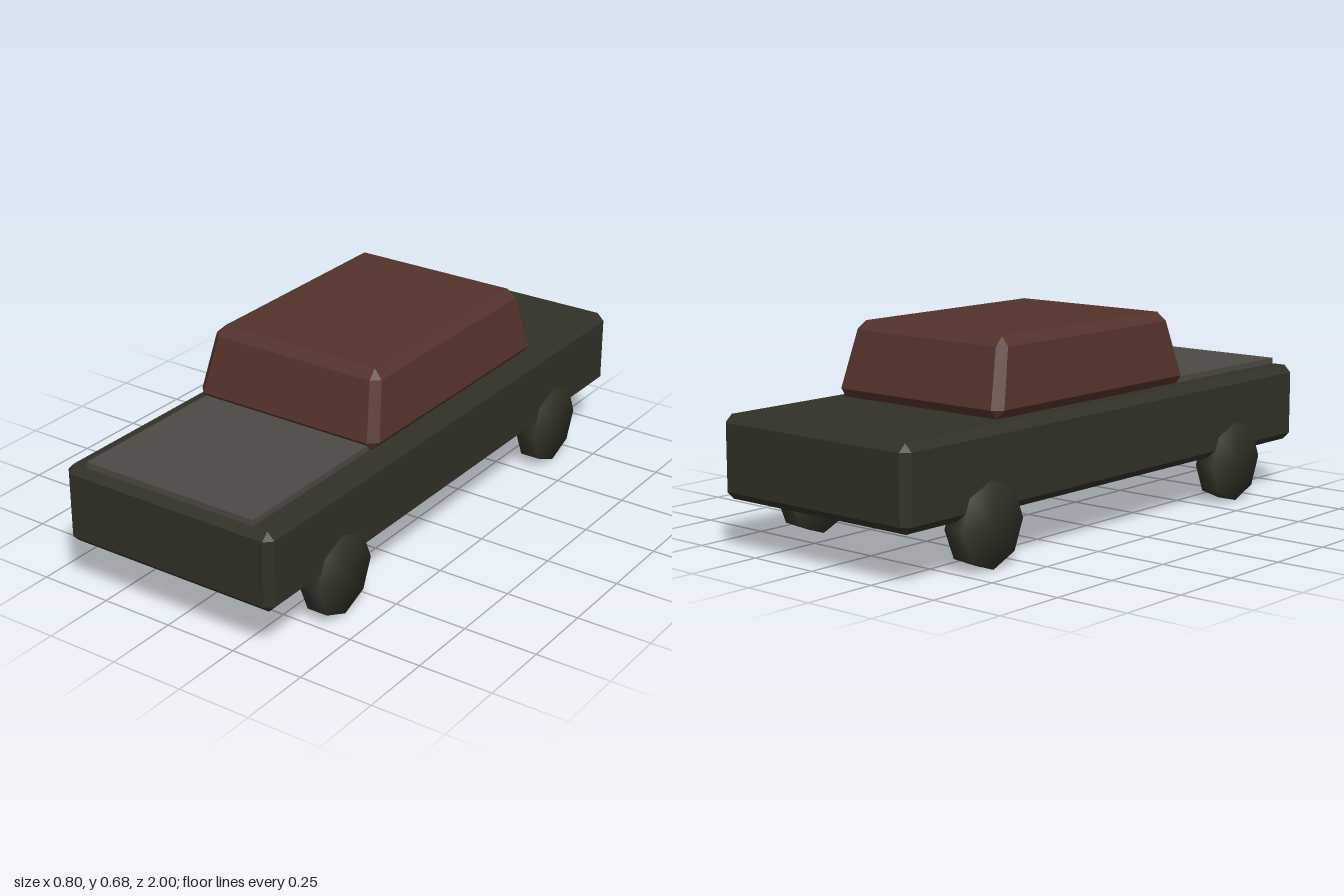
import * as THREE from 'three';
import { ConvexGeometry } from 'three/addons/geometries/ConvexGeometry.js';
import { mergeVertices } from 'three/addons/utils/BufferGeometryUtils.js';

const paint = (name, color) => {
  const m = new THREE.MeshStandardMaterial({ color });
  m.name = name;
  return m;
};

// Box with chamfered edges; taper(point) may reshape each corner point
function chamferBox(hx, hy, hz, b, taper = () => {}) {
  const points = [];
  for (const sx of [-1, 1]) for (const sy of [-1, 1]) for (const sz of [-1, 1]) {
    points.push(
      new THREE.Vector3(sx * hx, sy * (hy - b), sz * (hz - b)),
      new THREE.Vector3(sx * (hx - b), sy * hy, sz * (hz - b)),
      new THREE.Vector3(sx * (hx - b), sy * (hy - b), sz * hz));
  }
  points.forEach(taper);
  return new ConvexGeometry(points);
}

// Octagonal disc with normals blended across all edges
function wheelGeometry(radius, width) {
  const g = new THREE.CylinderGeometry(radius, radius, width, 8);
  g.rotateZ(Math.PI / 2);
  g.deleteAttribute('normal');
  g.deleteAttribute('uv');
  const smooth = mergeVertices(g, 1e-4);
  smooth.computeVertexNormals();
  return smooth;
}

export function createModel() {
  const car = new THREE.Group();
  car.name = 'car';
  const darkOlive = paint('dark olive', 0x313127);
  const rustBrown = paint('rust brown', 0x54322a);
  const warmGrey = paint('warm grey', 0x4d4a45);

  const add = (name, geometry, material, x, y, z) => {
    const mesh = new THREE.Mesh(geometry, material);
    mesh.name = name;
    mesh.position.set(x, y, z);
    car.add(mesh);
  };

  // Long chamfered body
  add('body', chamferBox(0.395, 0.134, 1, 0.025), darkOlive, 0, 0.299, 0);

  // Cabin narrows towards the roof
  const cabin = chamferBox(0.35, 0.1225, 0.478, 0.029, p => {
    const t = (p.y + 0.0935) / 0.187;
    p.x *= 1 - 0.08 * t;
    p.z *= 1 - 0.11 * t;
  });
  add('cabin', cabin, rustBrown, 0, 0.5575, -0.073);

  // Raised hood panel in front of the cabin
  add('hood', new THREE.BoxGeometry(0.636, 0.03, 0.595), warmGrey, 0, 0.438, 0.6775);

  // Four wheels
  const wheel = wheelGeometry(0.137, 0.072);
  for (const [end, z] of [['front', 0.635], ['rear', -0.633]]) {
    for (const [side, s] of [['Left', 1], ['Right', -1]]) {
      add(`${end}${side}Wheel`, wheel, darkOlive, s * 0.366, 0.137, z);
    }
  }
  return car;
}
